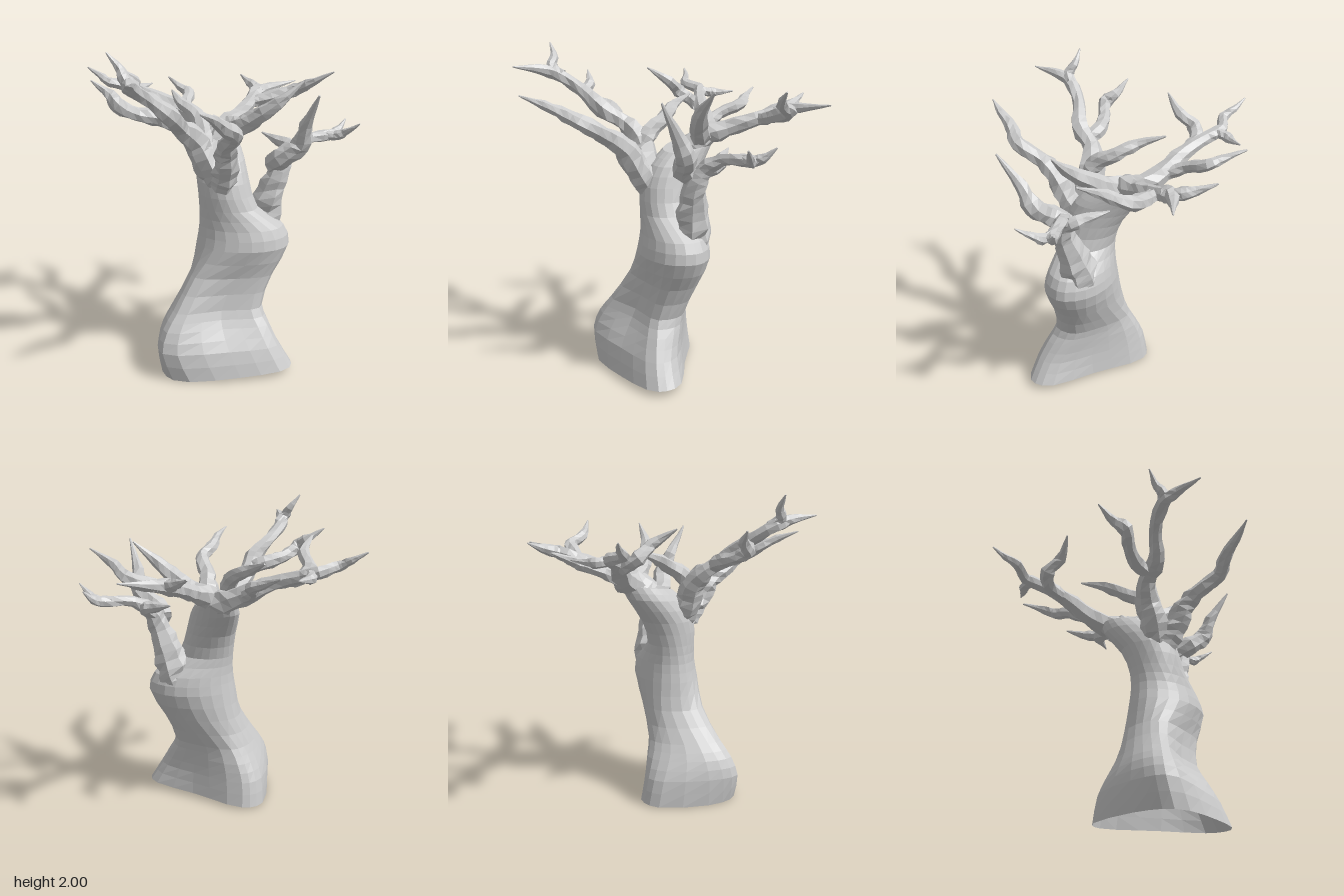
import * as THREE from 'three';

const material = new THREE.MeshStandardMaterial({ color: 0xcccccc, flatShading: true, side: THREE.DoubleSide });

let seed = 7;
const rand = () => (seed = (seed * 16807) % 2147483647) / 2147483647;

// Skin a list of equal-length rings, open at the start and closed at the end
function loft(name, rings) {
  const n = rings[0].length, pos = [], idx = [];
  rings.forEach(r => r.forEach(p => pos.push(p.x, p.y, p.z)));
  for (let i = 0; i < rings.length - 1; i++)
    for (let j = 0; j < n; j++) {
      const a = i * n + j, b = i * n + (j + 1) % n;
      idx.push(a, b, b + n, a, b + n, a + n);
    }
  const last = (rings.length - 1) * n;
  const c = rings.at(-1).reduce((s, p) => s.add(p), new THREE.Vector3()).divideScalar(n);
  pos.push(c.x, c.y, c.z);
  for (let j = 0; j < n; j++) idx.push(last + n, last + j, last + (j + 1) % n);
  const g = new THREE.BufferGeometry();
  g.setAttribute('position', new THREE.Float32BufferAttribute(pos, 3));
  g.setIndex(idx);
  g.computeVertexNormals();
  const mesh = new THREE.Mesh(g, material);
  mesh.name = name;
  return mesh;
}

// Gnarled tapering limb through points [x, y, z, radius]
function limb(name, pts, sides = 7) {
  const curve = new THREE.CatmullRomCurve3(pts.map(p => new THREE.Vector3(p[0], p[1], p[2])));
  const steps = (pts.length - 1) * 3, rings = [];
  let u = new THREE.Vector3(0.31, 0.2, 0.93);
  for (let i = 0; i <= steps; i++) {
    const f = i / steps, s = f * (pts.length - 1), k = Math.min(Math.floor(s), pts.length - 2);
    const r = THREE.MathUtils.lerp(pts[k][3], pts[k + 1][3], s - k);
    const c = curve.getPoint(f), t = curve.getTangent(f);
    u = u.clone().addScaledVector(t, -u.dot(t)).normalize();
    const v = t.clone().cross(u);
    rings.push(Array.from({ length: sides }, (_, j) => {
      const a = j / sides * Math.PI * 2, q = r * (0.9 + 0.32 * rand());
      return c.clone().addScaledVector(u, Math.cos(a) * q).addScaledVector(v, Math.sin(a) * q);
    }));
  }
  return loft(name, rings);
}

// Trunk: spreading foot outlines [x, z] at eight compass points, then oval rings above
function trunk() {
  const foot = [
    [0.0, [[.10, .25], [.18, .62], [.08, .71], [-.2, .57], [-.49, .3], [-.45, .12], [-.12, -.14], [.01, -.09]]],
    [0.18, [[.09, .26], [.13, .55], [.04, .64], [-.23, .5], [-.535, .25], [-.46, .1], [-.14, -.11], [-.01, -.07]]],
    [0.3, [[.09, .25], [.12, .47], [.02, .57], [-.21, .42], [-.49, .24], [-.42, .1], [-.15, -.05], [-.01, -.03]]],
    [0.4, [[.1, .24], [.12, .42], [.01, .51], [-.18, .38], [-.41, .24], [-.35, .11], [-.14, 0], [0, .02]]],
    [0.6, [[.21, .32], [.2, .45], [.08, .525], [-.1, .42], [-.27, .25], [-.21, .13], [-.05, .05], [.1, .12]]],
  ];
  // [y, centre x, centre z, half width, half depth, slope towards the back, diagonal skew]
  const ovals = [[.78, .05, .33, .25, .25, 0, .35], [.9, .045, .32, .225, .225, 0, .35], [1.02, -.02, .27, .16, .18, 0, .12],
    [1.18, -.02, .22, .16, .18, 0, -.1], [1.32, .025, .14, .15, .205, .1, -.25], [1.4, .065, .09, .135, .175, .15, -.3]];
  const upper = ovals.map(([y, cx, cz, rx, rz, slope, skew]) => Array.from({ length: 8 }, (_, i) => {
    const a = i * Math.PI / 4, dz = rz * Math.sin(a);
    return new THREE.Vector3(cx + rx * Math.cos(a - skew), y - slope * dz, cz + dz);
  }));
  const lower = foot.map(([y, pts]) => pts.map(([x, z]) =>
    new THREE.Vector3(x, y || Math.max(0, (x + .48) * .045 + (z - .1) * .025), z)));
  const outlines = [...lower, ...upper].map(p => new THREE.CatmullRomCurve3(p.reverse(), true));
  const sides = 22, steps = (outlines.length - 1) * 2;
  const columns = Array.from({ length: sides }, (_, j) =>
    new THREE.CatmullRomCurve3(outlines.map(c => c.getPoint(j / sides))));
  return loft('trunk', Array.from({ length: steps + 1 }, (_, i) => columns.map(c => c.getPoint(i / steps))));
}

export function createModel() {
  const tree = new THREE.Group();
  tree.name = 'tree';
  tree.add(trunk());

  const branches = {
    // Low front limb and its twigs
    lowFrontLimb: [[.17, .84, .34, .1], [.185, .95, .37, .105], [.205, 1.1, .42, .085], [.23, 1.23, .46, .062], [.29, 1.33, .46, .05],
      [.4, 1.4, .49, .032], [.58, 1.42, .56, .034], [.65, 1.44, .57, .024], [.72, 1.5, .57, .004]],
    lowFrontTwigOuter: [[.53, 1.42, .53, .025], [.59, 1.42, .62, .03], [.6, 1.45, .67, .022], [.61, 1.51, .76, .004]],
    lowFrontTwigInner: [[.26, 1.3, .46, .045], [.36, 1.36, .42, .038], [.35, 1.38, .33, .03], [.35, 1.41, .2, .005]],
    lowFrontTwigForward: [[.2, 1.27, .42, .055], [.18, 1.33, .52, .06], [.23, 1.42, .62, .055], [.2, 1.55, .68, .038], [.155, 1.74, .8, .005]],
    // Rear limb
    rearLimb: [[.09, 1.35, .12, .08], [.12, 1.42, -.01, .075], [.1, 1.49, -.17, .06], [.01, 1.58, -.34, .046], [-.05, 1.63, -.5, .037],
      [-.08, 1.66, -.6, .038], [-.2, 1.69, -.65, .03], [-.22, 1.73, -.73, .02], [-.26, 1.78, -.81, .004]],
    rearTwigLeft: [[-.06, 1.65, -.56, .03], [0, 1.64, -.61, .032], [.06, 1.64, -.62, .02], [.15, 1.65, -.64, .004]],
    rearTwigRight: [[-.02, 1.58, -.36, .035], [-.1, 1.61, -.45, .04], [-.18, 1.66, -.45, .042], [-.22, 1.73, -.37, .034], [-.36, 1.82, -.33, .004]],
    rearTwigLow: [[.1, 1.48, -.17, .04], [.15, 1.54, -.3, .036], [.27, 1.6, -.4, .038], [.27, 1.63, -.49, .026], [.29, 1.68, -.63, .005]],
    // Left limb
    leftLimb: [[.07, 1.36, .12, .08], [.15, 1.45, .07, .075], [.3, 1.5, .04, .05], [.46, 1.56, -.02, .042], [.61, 1.61, -.08, .047],
      [.72, 1.63, -.06, .028], [.91, 1.66, -.01, .004]],
    leftTwigRear: [[.58, 1.6, -.05, .035], [.64, 1.63, -.14, .036], [.66, 1.65, -.21, .026], [.69, 1.69, -.32, .005]],
    leftTwigForward: [[.49, 1.56, -.02, .035], [.59, 1.59, .06, .042], [.7, 1.64, .17, .042], [.68, 1.69, .29, .03], [.74, 1.78, .45, .004]],
    leftTwigInner: [[.14, 1.45, .06, .06], [.17, 1.48, .19, .06], [.2, 1.55, .3, .052], [.25, 1.64, .42, .036], [.36, 1.77, .52, .004]],
    // Right limb
    rightLimb: [[-.1, 1.18, .26, .08], [-.16, 1.3, .24, .085], [-.21, 1.43, .2, .075], [-.32, 1.53, .18, .05], [-.44, 1.61, .23, .055],
      [-.58, 1.72, .21, .036], [-.74, 1.82, .24, .042], [-.81, 1.85, .32, .027], [-.92, 1.87, .44, .004]],
    rightTwigTop: [[-.7, 1.81, .24, .03], [-.77, 1.86, .24, .036], [-.77, 1.91, .2, .026], [-.82, 2, .15, .004]],
    rightTwigRear: [[-.36, 1.55, .2, .035], [-.42, 1.59, .11, .048], [-.54, 1.62, .05, .038], [-.65, 1.68, .02, .042], [-.65, 1.73, -.05, .032], [-.71, 1.81, -.15, .004]],
    rightTwigInner: [[-.19, 1.38, .24, .05], [-.15, 1.48, .18, .05], [-.09, 1.56, .06, .042], [-.09, 1.61, -.07, .034], [-.03, 1.67, -.23, .005]],
    // Front limb
    frontLimb: [[-.12, 1.18, .31, .07], [-.15, 1.27, .37, .075], [-.2, 1.4, .43, .065], [-.27, 1.48, .5, .05], [-.35, 1.57, .64, .046],
      [-.47, 1.63, .66, .038], [-.58, 1.69, .71, .025], [-.71, 1.74, .75, .004]],
  };
  for (const [name, pts] of Object.entries(branches)) tree.add(limb(name, pts));
  return tree;
}
